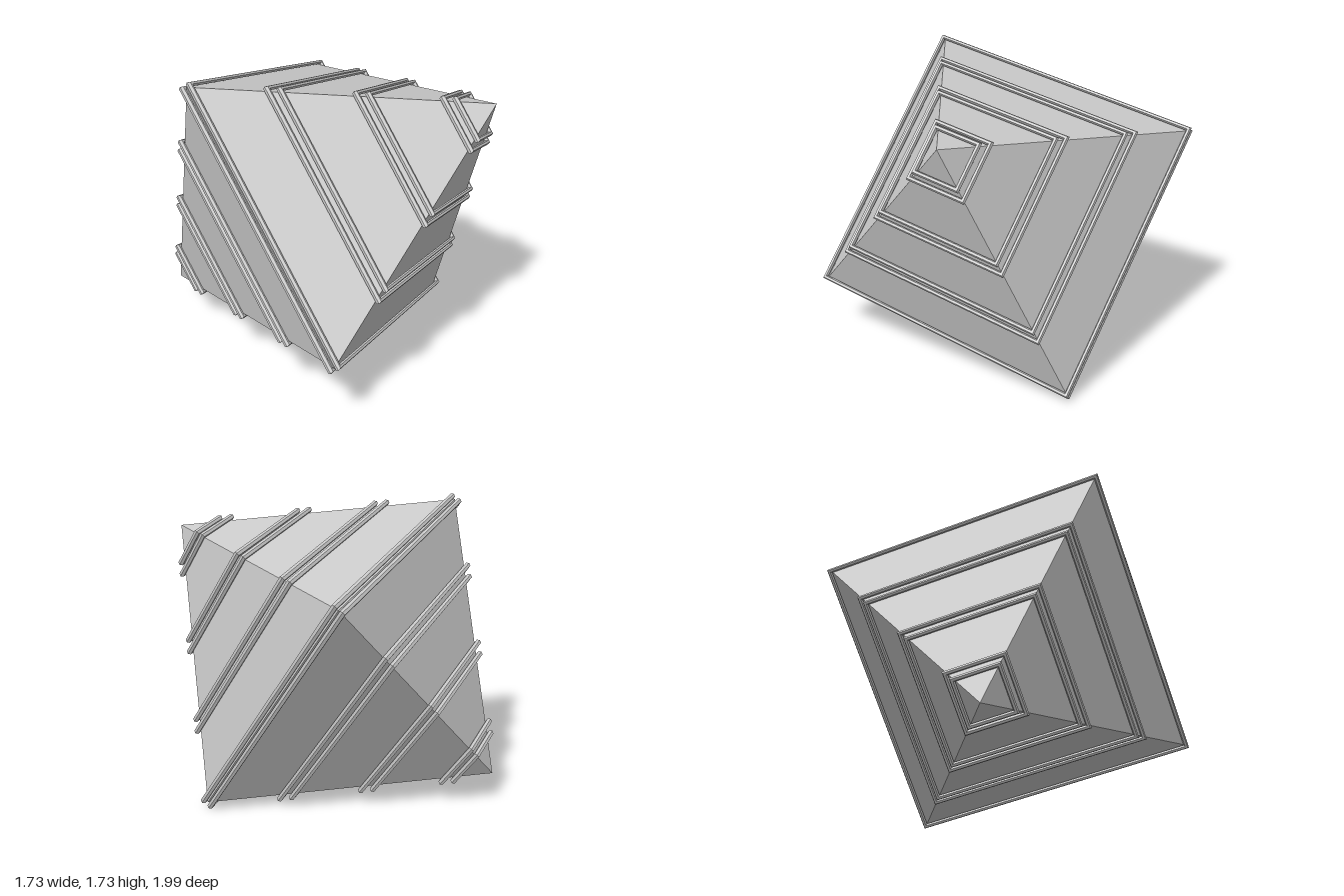
import * as THREE from 'three';

const APEX = 1.19;      // centre to tip along the tilted axis
const CORNER = 1.175;   // centre to equator corner
const CENTRE_Y = 0.868;

export function createModel() {
  const model = new THREE.Group();
  model.name = 'bandedOctahedron';
  const material = new THREE.MeshStandardMaterial({ color: 0xcccccc, flatShading: true });

  // Tilted assembly: local y runs tip to tip along the (1, 1, 1) diagonal
  const tilted = new THREE.Group();
  tilted.name = 'tiltedBody';
  const axis = new THREE.Vector3(1, 1, 1).normalize();
  const side = new THREE.Vector3(-1, 1, 0).normalize();
  const depth = new THREE.Vector3().crossVectors(side, axis);
  tilted.quaternion.setFromRotationMatrix(new THREE.Matrix4().makeBasis(side, axis, depth));
  tilted.position.y = CENTRE_Y;
  model.add(tilted);

  // Solid core
  const core = new THREE.Mesh(new THREE.OctahedronGeometry(1).scale(CORNER, APEX, CORNER), material);
  core.name = 'core';
  tilted.add(core);

  // Square bands of slim tube, in close pairs standing just off the faces
  const addBand = (h) => {
    const radius = CORNER * (1 - Math.abs(h) / APEX) + 0.03;
    const band = new THREE.Mesh(new THREE.TorusGeometry(radius, 0.018, 6, 4).rotateX(Math.PI / 2), material);
    band.position.y = h;
    band.name = 'squareBand';
    tilted.add(band);
  };
  for (let level = -3; level <= 3; level++) {
    for (const offset of [-0.025, 0.025]) addBand(level * 0.338 + offset);
  }
  return model;
}
